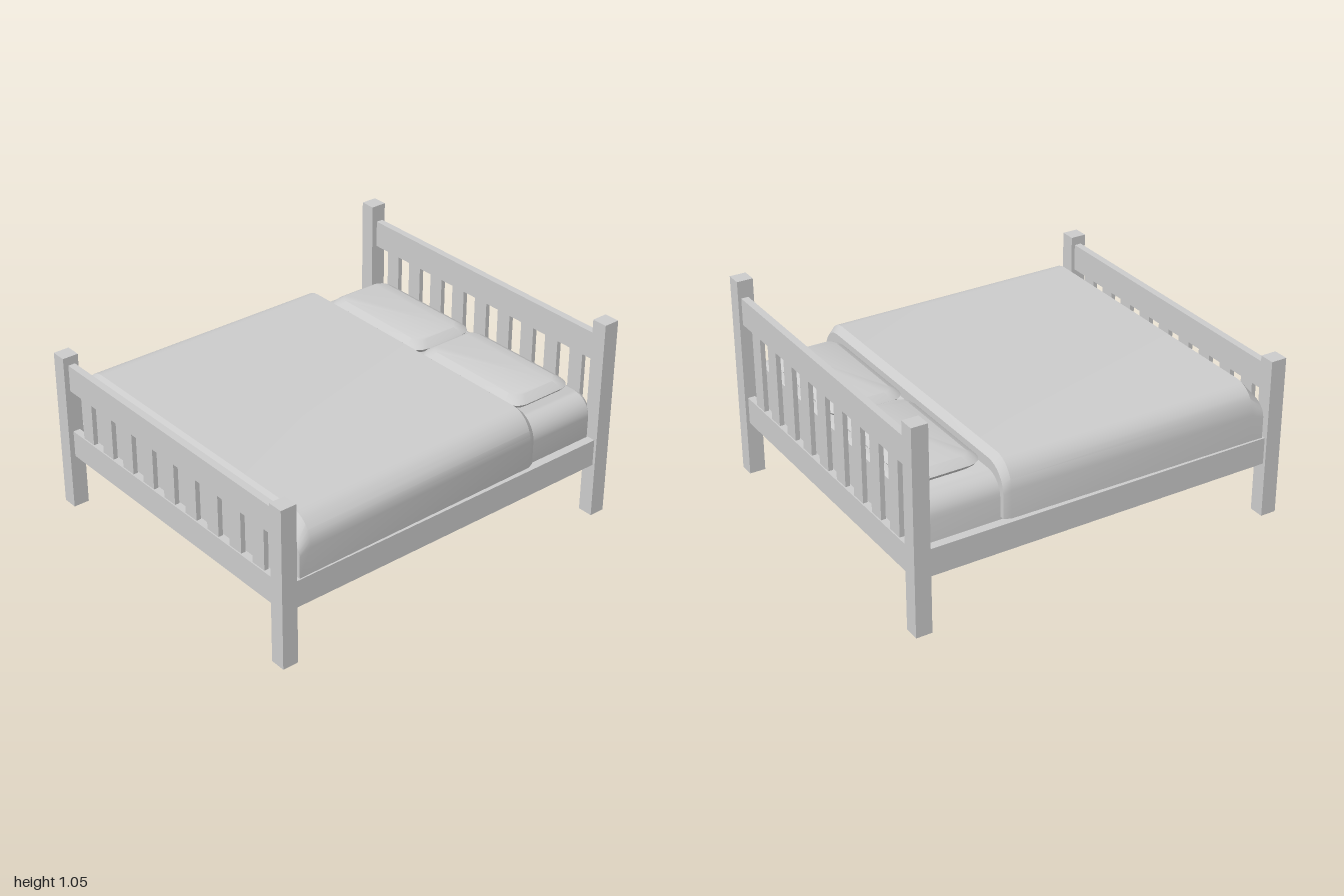
import * as THREE from 'three';
import { toCreasedNormals } from 'three/addons/utils/BufferGeometryUtils.js';

const material = new THREE.MeshStandardMaterial({ color: 0xcccccc });

function add(parent, name, geometry) {
  const mesh = new THREE.Mesh(geometry, material);
  mesh.name = name;
  parent.add(mesh);
  return mesh;
}

// Box given by its limits on each axis
function box(parent, name, [x0, x1], [y0, y1], [z0, z1]) {
  const mesh = add(parent, name, new THREE.BoxGeometry(x1 - x0, y1 - y0, z1 - z0));
  mesh.position.set((x0 + x1) / 2, (y0 + y1) / 2, (z0 + z1) / 2);
  return mesh;
}

// Closed solid through counter-clockwise loops stacked along z
function loft(sections) {
  const n = sections[0].loop.length;
  const positions = [];
  const index = [];
  for (const { loop, z } of sections) for (const [x, y] of loop) positions.push(x, y, z);
  for (let i = 0; i < sections.length - 1; i++) {
    for (let j = 0; j < n; j++) {
      const a = i * n + j, b = i * n + (j + 1) % n;
      index.push(a, b, a + n, b, b + n, a + n);
    }
  }
  const last = (sections.length - 1) * n;
  for (let j = 1; j < n - 1; j++) {
    index.push(0, j + 1, j);
    index.push(last, last + j, last + j + 1);
  }
  const geometry = new THREE.BufferGeometry();
  geometry.setAttribute('position', new THREE.Float32BufferAttribute(positions, 3));
  geometry.setIndex(index);
  return toCreasedNormals(geometry, 0.5);
}

// Flat-bottomed outline with elliptical upper corners
function archLoop(w, bottom, top, rx, ry, steps = 8) {
  const right = [[w, bottom]];
  for (let i = 0; i <= steps; i++) {
    const a = (i / steps) * Math.PI / 2;
    right.push([w - rx + rx * Math.cos(a), top - ry + ry * Math.sin(a)]);
  }
  return [...right, ...right.map(([x, y]) => [-x, y]).reverse()];
}

// Rectangle with rounded corners
function roundLoop(w, h, r, steps = 4) {
  const loop = [];
  for (let c = 0; c < 4; c++) {
    const sx = c === 0 || c === 3 ? 1 : -1, sy = c < 2 ? 1 : -1;
    for (let i = 0; i <= steps; i++) {
      const a = (c + i / steps) * Math.PI / 2;
      loop.push([sx * (w - r) + r * Math.cos(a), sy * (h - r) + r * Math.sin(a)]);
    }
  }
  return loop;
}

// Headboard or footboard: two rails joined by nine upright slats
function endBoard(parent, name, z, railBottom, railTop) {
  const board = new THREE.Group();
  board.name = name;
  parent.add(board);
  const depth = [z - 0.0185, z + 0.0185];
  box(board, 'topRail', [-0.8, 0.8], [railBottom, railTop], depth);
  box(board, 'bottomRail', [-0.8, 0.8], [0.285, 0.425], depth);
  for (let i = -4; i <= 4; i++) {
    const x = i * 0.1667;
    box(board, 'uprightSlat', [x - 0.042, x + 0.042], [0.42, railBottom + 0.005], [z - 0.012, z + 0.012]);
  }
}

export function createModel() {
  const bed = new THREE.Group();
  bed.name = 'bed';

  // Posts and side rails
  for (const s of [-1, 1]) {
    const span = (a, b) => (s > 0 ? [a, b] : [-b, -a]);
    box(bed, 'frontPost', span(0.795, 0.875), [0, 0.835], [0.917, 1]);
    box(bed, 'backPost', span(0.795, 0.875), [0, 1.055], [-1, -0.917]);
    box(bed, 'sideRail', span(0.815, 0.86), [0.285, 0.425], [-0.92, 0.92]);
  }
  endBoard(bed, 'headboard', -0.965, 0.825, 0.965);
  endBoard(bed, 'footboard', 0.955, 0.65, 0.79);

  // Support slats across the frame
  const slats = 12;
  for (let i = 0; i < slats; i++) {
    const z = -0.83 + (i * 1.66) / (slats - 1);
    box(bed, 'supportSlat', [-0.82, 0.82], [0.335, 0.4], [z - 0.04, z + 0.04]);
  }

  // Mattress
  add(bed, 'mattress', loft([
    { z: -0.935, loop: archLoop(0.8, 0.4, 0.625, 0.1, 0.1) },
    { z: -0.915, loop: archLoop(0.81, 0.4, 0.635, 0.1, 0.1) },
    { z: 0.87, loop: archLoop(0.81, 0.4, 0.635, 0.1, 0.1) },
  ]));

  // Duvet, tapered at the head and sloping down at the foot
  add(bed, 'duvet', loft([
    { z: -0.525, loop: archLoop(0.835, 0.437, 0.688, 0.125, 0.13) },
    { z: -0.49, loop: archLoop(0.848, 0.435, 0.717, 0.125, 0.14) },
    { z: 0.83, loop: archLoop(0.863, 0.435, 0.712, 0.13, 0.14) },
    { z: 0.895, loop: archLoop(0.865, 0.435, 0.635, 0.13, 0.09) },
  ]));

  // Pair of pillows
  const levels = [[0.633, 0.035], [0.655, 0.008], [0.667, 0], [0.678, 0.012], [0.697, 0.045]];
  const pillow = loft(levels.map(([y, inset]) => (
    { z: y, loop: roundLoop(0.348 - inset, 0.188 - inset, 0.075 - inset * 0.6) }
  )));
  pillow.rotateX(-Math.PI / 2);
  for (const s of [-1, 1]) {
    add(bed, s > 0 ? 'leftPillow' : 'rightPillow', pillow).position.set(s * 0.349, 0, -0.723);
  }

  return bed;
}
